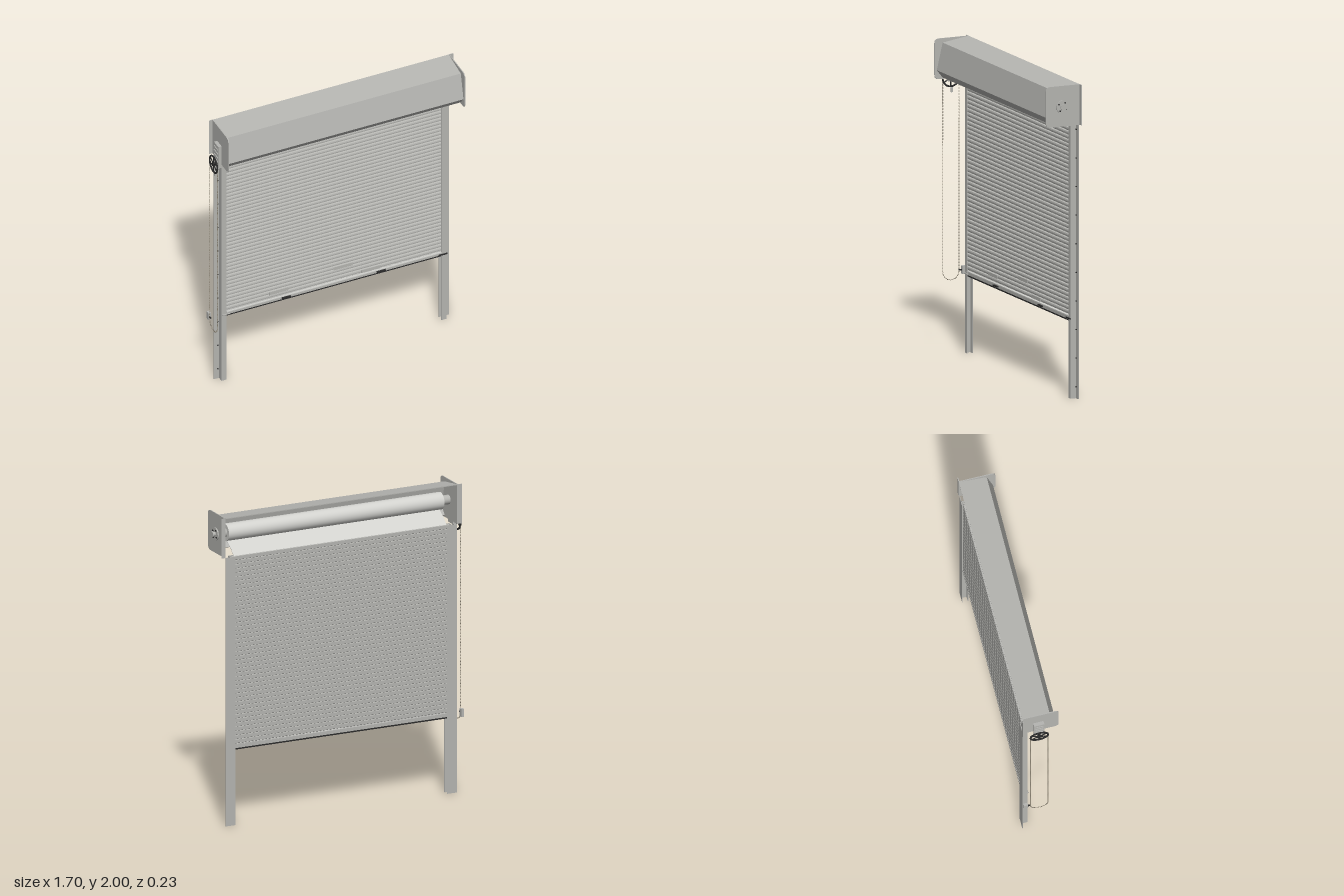
import * as THREE from 'three';
import { mergeGeometries } from 'three/addons/utils/BufferGeometryUtils.js';

const mat = (name, color) => {
  const m = new THREE.MeshStandardMaterial({ color });
  m.name = name;
  return m;
};

export function createModel() {
  const steel = mat('galvanised grey', 0xb5b5b1);
  const lightSteel = mat('pale grey', 0xd2d2ce);
  const black = mat('black', 0x2b2b2b);
  const chainTone = mat('dull brass', 0x8c8474);

  const root = new THREE.Group();
  root.name = 'rollerShutter';
  const shutter = new THREE.Group();
  shutter.name = 'shutterAssembly';
  shutter.position.x = 0.004;
  root.add(shutter);

  const add = (name, geo, material, x = 0, y = 0, z = 0) => {
    const m = new THREE.Mesh(geo, material);
    m.name = name;
    m.position.set(x, y, z);
    shutter.add(m);
    return m;
  };
  const box = (name, material, w, h, d, x, y, z) => add(name, new THREE.BoxGeometry(w, h, d), material, x, y, z);
  const rod = (name, material, r, len, x, y, z, sides = 24) =>
    add(name, new THREE.CylinderGeometry(r, r, len, sides).rotateZ(Math.PI / 2), material, x, y, z);
  // Profile of [z, y] points swept along x, centred on x = 0
  const sweepX = (shape, width) =>
    new THREE.ExtrudeGeometry(shape, { depth: width, bevelEnabled: false, curveSegments: 6 })
      .rotateY(Math.PI / 2).translate(-width / 2, 0, 0);
  const sideShape = (pts) => new THREE.Shape(pts.map(([z, y]) => new THREE.Vector2(-z, y)));

  // Hood: folded sheet, open at the back
  const hood = [[-0.118, 2.0], [0.06, 1.972], [0.1, 1.8], [0.06, 1.75],
    [0.057, 1.754], [0.095, 1.801], [0.056, 1.967], [-0.118, 1.995]];
  add('hood', sweepX(sideShape(hood), 1.612), steel);

  // End plates with rounded front corners, plus back flanges
  const plate = new THREE.Shape();
  const r = 0.03;
  plate.moveTo(0.116, 1.742);
  plate.lineTo(0.116, 2.0);
  plate.lineTo(-0.115 + r, 2.0);
  plate.quadraticCurveTo(-0.115, 2.0, -0.115, 2.0 - r);
  plate.lineTo(-0.115, 1.742 + r);
  plate.quadraticCurveTo(-0.115, 1.742, -0.115 + r, 1.742);
  plate.closePath();

  // Guide rail in plan: inward-opening channel with an outer angle leg
  const railPlan = [[0.805, 0.115], [0.736, 0.115], [0.736, 0.111], [0.766, 0.111], [0.766, 0.079],
    [0.736, 0.079], [0.736, 0.075], [0.77, 0.075], [0.77, 0.111], [0.805, 0.111]];

  for (const s of [-1, 1]) {
    const side = s > 0 ? 'left' : 'right';
    add(side + 'EndPlate', sweepX(plate, 0.006), steel, s * 0.809);
    box(side + 'BackFlange', steel, 0.026, 0.256, 0.005, s * 0.823, 1.872, -0.1175);
    const rail = new THREE.Shape(railPlan.map(([x, y]) => new THREE.Vector2(s * x, y)));
    add(side + 'GuideRail',
      new THREE.ExtrudeGeometry(rail, { depth: 1.742, bevelEnabled: false }).rotateX(-Math.PI / 2), steel);
    // Fixing bolts down the angle leg
    for (let i = 0; i < 10; i++) {
      add(side + 'RailBolt', new THREE.CylinderGeometry(0.004, 0.004, 0.005, 8).rotateX(Math.PI / 2),
        black, s * 0.779, 0.075 + i * 0.1815, -0.1085);
    }
  }

  // Curtain of interlocking slats
  const slats = 45, y0 = 0.525, pitch = (1.742 - y0) / slats;
  const front = [], back = [];
  for (let i = 0; i < slats; i++) {
    const y = y0 + i * pitch;
    front.push([-0.094, y], [-0.084, y + 0.007], [-0.083, y + 0.015], [-0.085, y + 0.023]);
    back.push([-0.1, y], [-0.104, y + 0.003], [-0.104, y + 0.025]);
  }
  front.push([-0.094, 1.742]);
  back.push([-0.1, 1.742]);
  add('slatCurtain', sweepX(sideShape([...front, ...back.reverse()]), 1.52), steel);

  // Barrel, its journals and the lead-in sheet running down to the slats
  rod('barrel', lightSteel, 0.055, 1.5, 0, 1.87, 0.003, 32);
  rod('barrelShaft', steel, 0.03, 1.62, 0, 1.87, 0.003, 20);
  const leadIn = [[-0.1, 1.74], [-0.06, 1.778], [0.0, 1.815], [0.0, 1.811], [-0.058, 1.774], [-0.094, 1.74]];
  add('curtainLeadIn', sweepX(sideShape(leadIn), 1.48), lightSteel);

  // Bottom bar with rubber seal, lift handles and side locks
  box('bottomBar', steel, 1.52, 0.029, 0.024, 0, 0.5105, -0.094);
  box('bottomBarLip', lightSteel, 1.47, 0.006, 0.034, 0, 0.522, -0.089);
  box('rubberSeal', black, 1.5, 0.01, 0.02, 0, 0.491, -0.094);
  for (const s of [-1, 1]) box('liftHandle', black, 0.06, 0.008, 0.016, s * 0.325, 0.507, -0.078);
  box('slideBolt', black, 0.06, 0.006, 0.008, 0.745, 0.508, -0.07);
  rod('lockPin', steel, 0.004, 0.05, -0.74, 0.508, -0.07, 8);

  // Thin plain tags on the lower slats
  for (const [x, y] of [[-0.375, 0.565], [0.065, 0.62], [0.255, 0.54]])
    box('slatTag', steel, 0.13, 0.022, 0.003, x, y, -0.0815);

  // Bearing on the left end
  rod('bearingDisc', steel, 0.04, 0.008, 0.816, 1.868, 0.005, 28);
  rod('bearingHub', steel, 0.014, 0.026, 0.828, 1.868, 0.005, 16);
  rod('bearingCap', steel, 0.022, 0.006, 0.84, 1.868, 0.005, 8);
  for (let i = 0; i < 4; i++) {
    const a = i * Math.PI / 2 + 0.6;
    rod('bearingBolt', black, 0.005, 0.006, 0.822, 1.868 + 0.03 * Math.sin(a), 0.005 + 0.03 * Math.cos(a), 6);
  }

  // Gear casing and chain wheel on the right end
  const wz = -0.018, wy = 1.735, wx = -0.851, wr = 0.056;
  box('gearCasing', steel, 0.024, 0.165, 0.065, -0.823, 1.803, -0.014);
  for (let i = 0; i < 4; i++) box('casingRib', steel, 0.006, 0.008, 0.05, -0.837, 1.77 + i * 0.03, -0.014);
  rod('wheelShaft', black, 0.008, 0.03, wx + 0.012, wy, wz, 12);
  add('chainWheelRim', new THREE.TorusGeometry(wr, 0.006, 8, 36).rotateY(Math.PI / 2), black, wx, wy, wz);
  rod('chainWheelHub', black, 0.014, 0.014, wx, wy, wz, 16);
  for (let i = 0; i < 6; i++) {
    const spoke = new THREE.BoxGeometry(0.005, wr, 0.007).translate(0, wr / 2, 0).rotateX(i * Math.PI / 3);
    add('chainWheelSpoke', spoke, black, wx, wy, wz);
  }
  box('chainGuide', steel, 0.012, 0.03, 0.014, -0.838, 1.66, wz);

  // Looped bead chain hanging from the wheel
  const straight = wy - 0.507, arc = Math.PI * wr, total = 2 * straight + arc;
  const beads = [];
  const bead = new THREE.SphereGeometry(0.0034, 6, 4);
  for (let d = 0; d < total; d += 0.0095) {
    let y, z;
    if (d < straight) { y = wy - d; z = wz + wr; }
    else if (d < straight + arc) {
      const a = (d - straight) / wr;
      y = 0.507 - wr * Math.sin(a); z = wz + wr * Math.cos(a);
    } else { y = 0.507 + d - straight - arc; z = wz - wr; }
    beads.push(bead.clone().translate(wx, y, z));
  }
  add('beadChain', mergeGeometries(beads), chainTone);

  // Wall cleat that holds the chain
  box('chainCleat', steel, 0.018, 0.052, 0.026, -0.844, 0.51, -0.103);
  box('chainCleatHook', black, 0.008, 0.008, 0.022, -0.846, 0.51, -0.082);

  return root;
}
